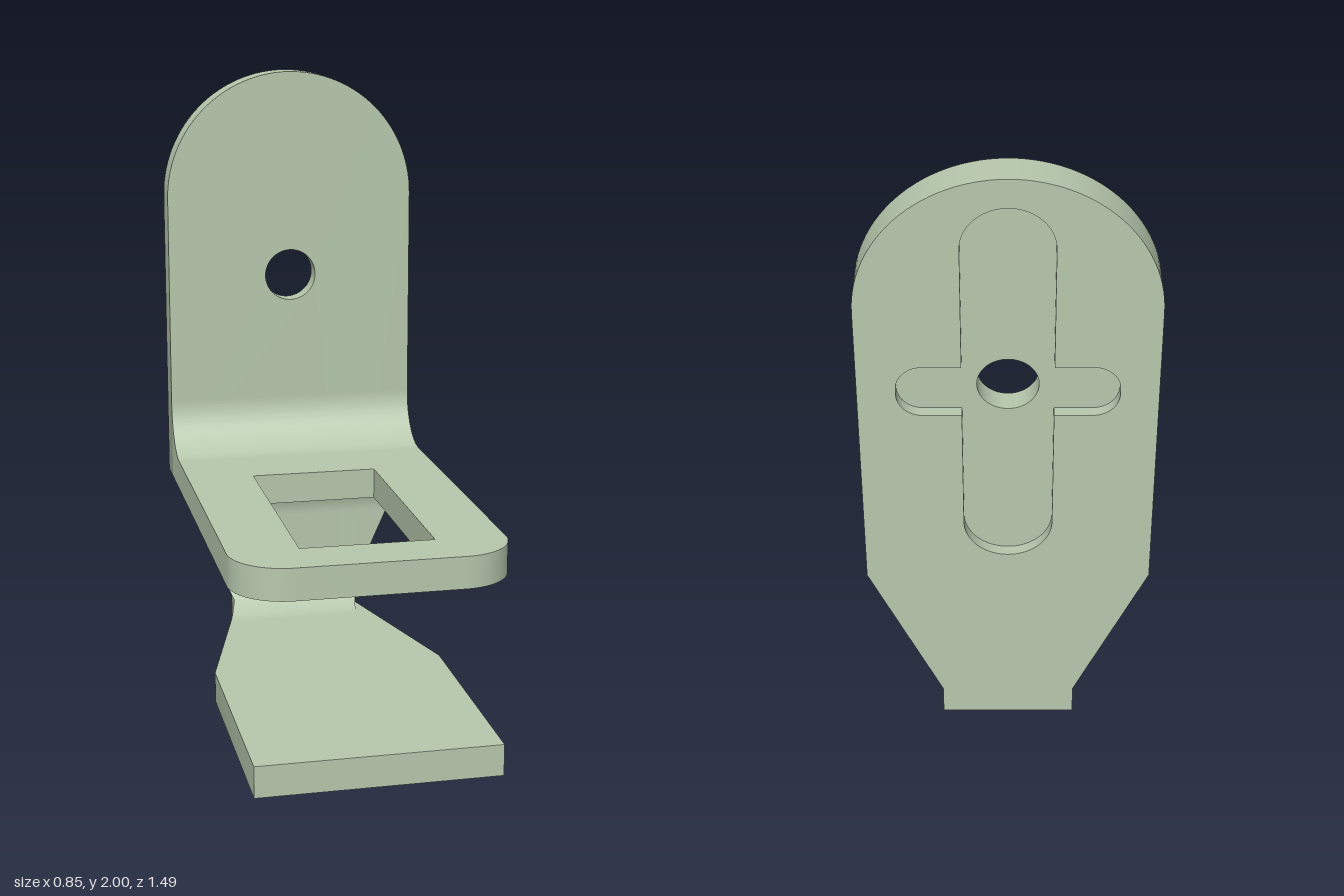
import * as THREE from 'three';
import { toCreasedNormals } from 'three/addons/utils/BufferGeometryUtils.js';

const HALF = 0.425;               // half width of plate and shelf
const BACK = -0.745, FACE = -0.64; // back and front of the upright plate
const R = 0.17;                   // fillet and corner radius
const HOLE_Y = 1.3;

const webWidth = y => 0.205 + (HALF - 0.205) * (y - 0.1) / 0.495;
const baseWidth = z => 0.205 + 0.175 * (z - FACE) / -FACE;

const polygon = pts => new THREE.Shape(pts.map(p => new THREE.Vector2(...p)));
const extrude = (shape, depth) =>
  new THREE.ExtrudeGeometry(shape, { depth, bevelEnabled: false, curveSegments: 28 });

// Arched plate outline with a tapered foot
function plateShape() {
  const s = new THREE.Shape();
  s.moveTo(-0.205, 0);
  s.lineTo(0.205, 0);
  s.lineTo(0.205, 0.1);
  s.lineTo(HALF, 0.595);
  s.lineTo(HALF, 2 - HALF);
  s.absarc(0, 2 - HALF, HALF, 0, Math.PI, false);
  s.lineTo(-HALF, 0.595);
  s.lineTo(-0.205, 0.1);
  return s;
}

// Cross of a long upright slot and a short level slot
function crossPath() {
  const p = new THREE.Path();
  const a = 0.13, b = 0.085, w = 0.315, r = 0.075;
  const top = 1.91 - a, bottom = 0.68 + a;
  const hi = HOLE_Y + b, lo = HOLE_Y - b, q = Math.PI / 2;
  p.moveTo(a, hi);
  p.lineTo(a, top);
  p.absarc(0, top, a, 0, Math.PI, false);
  p.lineTo(-a, hi);
  p.lineTo(-w + r, hi);
  p.absarc(-w + r, hi - r, r, q, 2 * q, false);
  p.absarc(-w + r, lo + r, r, 2 * q, 3 * q, false);
  p.lineTo(-a, lo);
  p.lineTo(-a, bottom);
  p.absarc(0, bottom, a, Math.PI, 2 * Math.PI, false);
  p.lineTo(a, lo);
  p.lineTo(w - r, lo);
  p.absarc(w - r, lo + r, r, -q, 0, false);
  p.absarc(w - r, hi - r, r, 0, q, false);
  p.lineTo(a, hi);
  return p;
}

// Concave fillet against the plate; side is +1 above, -1 below the level y.
// xRule gives the x of each end from its side, y and z.
function fillet(y, side, xRule) {
  const s = new THREE.Shape();
  s.moveTo(FACE, y);
  s.lineTo(FACE, y + side * R);
  s.absarc(FACE + R, y + side * R, R, Math.PI, Math.PI + side * Math.PI / 2, side < 0);
  s.lineTo(FACE, y);
  const g = extrude(s, 2).translate(0, 0, -1).rotateY(-Math.PI / 2);
  const p = g.attributes.position;
  for (let i = 0; i < p.count; i++)
    p.setX(i, xRule(Math.sign(p.getX(i)), p.getY(i), p.getZ(i)));
  return g;
}

export function createModel() {
  const group = new THREE.Group();
  const sage = new THREE.MeshStandardMaterial({ color: 0xb8c9ae });
  sage.name = 'sage green';

  const add = (name, geometry) => {
    const mesh = new THREE.Mesh(toCreasedNormals(geometry, 0.5), sage);
    mesh.name = name;
    group.add(mesh);
  };

  // Upright plate: a recessed back layer and a drilled front layer
  const recess = 0.035;
  const backLayer = plateShape();
  backLayer.holes.push(crossPath());
  add('plateBackLayer', extrude(backLayer, recess).translate(0, 0, BACK));

  const frontLayer = plateShape();
  const hole = new THREE.Path();
  hole.absarc(0, HOLE_Y, 0.088, 0, Math.PI * 2, true);
  frontLayer.holes.push(hole);
  add('plateFrontLayer',
    extrude(frontLayer, FACE - BACK - recess).translate(0, 0, BACK + recess));

  // Shelf with rounded front corners and a rectangular window
  const shelf = new THREE.Shape();
  const front = -0.735;
  shelf.moveTo(-HALF, -FACE);
  shelf.lineTo(-HALF, front + R);
  shelf.absarc(-HALF + R, front + R, R, Math.PI, Math.PI * 1.5, false);
  shelf.absarc(HALF - R, front + R, R, -Math.PI / 2, 0, false);
  shelf.lineTo(HALF, -FACE);
  shelf.holes.push(polygon([[-0.207, 0.235], [0.207, 0.235], [0.207, -0.56], [-0.207, -0.56]]));
  add('shelf', extrude(shelf, 0.1).rotateX(-Math.PI / 2).translate(0, 0.595, 0));

  // Base foot, narrowing toward the plate
  const base = polygon([[-0.38, -0.745], [0.38, -0.745], [0.38, 0],
    [0.205, -FACE], [-0.205, -FACE], [-0.38, 0]]);
  add('base', extrude(base, 0.1).rotateX(-Math.PI / 2));

  // Fillets joining shelf and base to the plate
  add('shelfTopFillet', fillet(0.695, 1, side => side * HALF));
  add('shelfUnderFillet', fillet(0.595, -1, (side, y) => side * webWidth(y)));
  add('baseFillet', fillet(0.1, 1, (side, y) => side * webWidth(y)));
  add('baseFilletFlare', fillet(0.1, 1, (side, y, z) => side > 0 ? -0.1 : -baseWidth(z)));

  return group;
}
